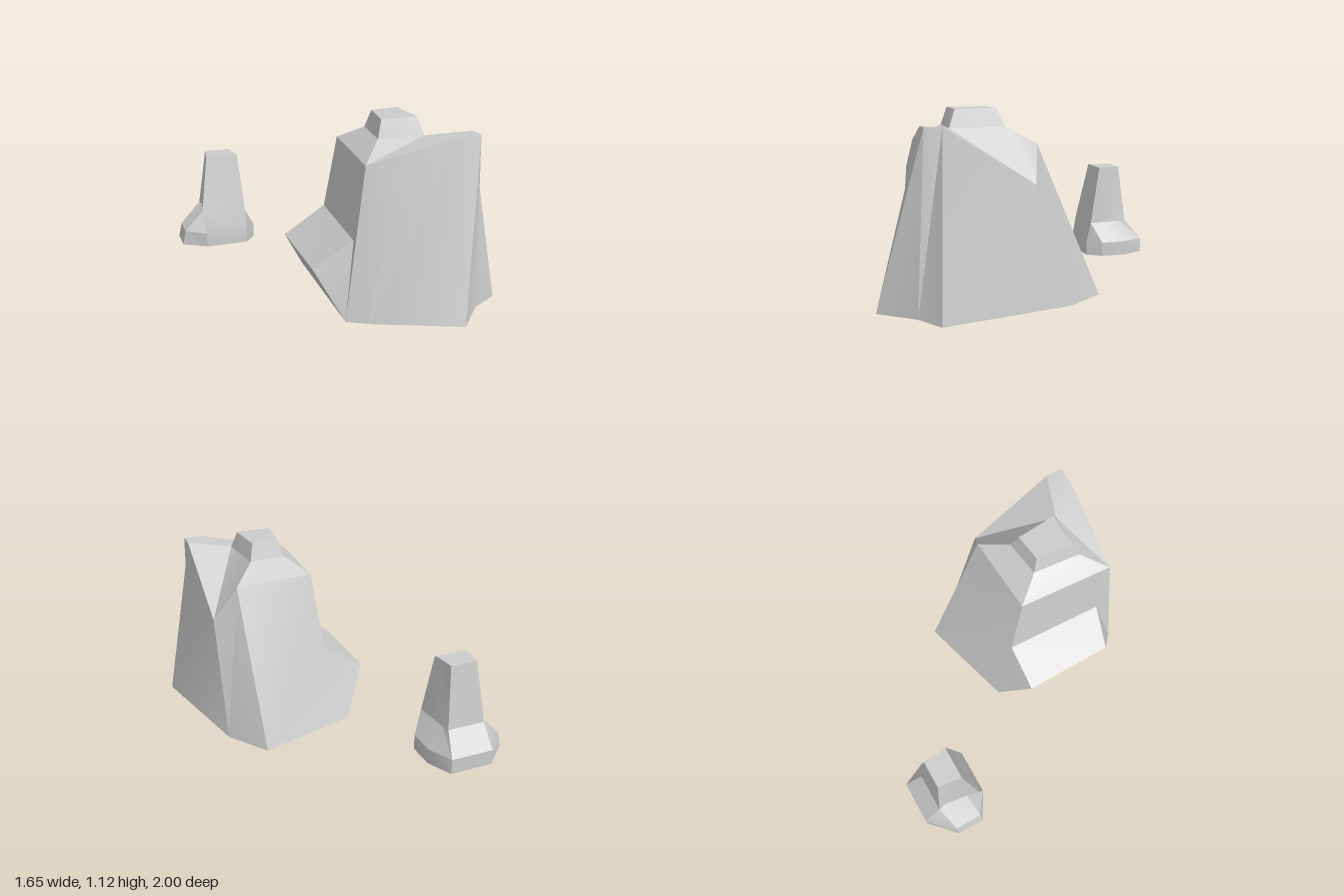
import * as THREE from 'three';
import { toCreasedNormals } from 'three/addons/utils/BufferGeometryUtils.js';

const material = new THREE.MeshStandardMaterial({ color: 0xcccccc });

// Faceted stone from corner points and polygons; every polygon is turned to face away from the core
function stone(name, points, faces, core) {
  const out = [];
  const c = new THREE.Vector3(...core), n = new THREE.Vector3(), mid = new THREE.Vector3();
  const tri = new THREE.Triangle();
  for (const face of faces) {
    for (let i = 1; i < face.length - 1; i++) {
      tri.a.set(...points[face[0]]);
      tri.b.set(...points[face[i]]);
      tri.c.set(...points[face[i + 1]]);
      tri.getNormal(n);
      tri.getMidpoint(mid).sub(c);
      const order = n.dot(mid) > 0 ? [tri.a, tri.b, tri.c] : [tri.a, tri.c, tri.b];
      for (const v of order) out.push(v.x, v.y, v.z);
    }
  }
  const geometry = new THREE.BufferGeometry();
  geometry.setAttribute('position', new THREE.Float32BufferAttribute(out, 3));
  const mesh = new THREE.Mesh(toCreasedNormals(geometry, 0.45), material);
  mesh.name = name;
  return mesh;
}

// Polygons joining stacked rings of equal size, optionally closed at the ends
function ringFaces(rings, size, bottom = true) {
  const faces = [];
  const loop = (r) => Array.from({ length: size }, (_, i) => r * size + i);
  for (let r = 0; r < rings - 1; r++) {
    for (let i = 0; i < size; i++) {
      const j = (i + 1) % size;
      faces.push([r * size + i, r * size + j, (r + 1) * size + j, (r + 1) * size + i]);
    }
  }
  faces.push(loop(rings - 1));
  if (bottom) faces.push(loop(0));
  return faces;
}

function largeRock() {
  const p = {
    // footprint
    baseLeft: [-0.02, 0, 0.79], baseFront: [0.48, 0, 0.995], baseCorner: [0.65, 0, 0.79],
    baseRight: [0.82, 0, 0.69], baseRear: [0.65, 0, -0.09], baseBack: [0.48, 0, -0.33],
    lobeBack: [-0.13, 0, -0.16], lobeFront: [-0.14, 0, 0.72],
    // side lobe
    bulgeBack: [-0.29, 0.285, 0], bulgeFront: [-0.29, 0.285, 0.57],
    wallBack: [-0.03, 0.45, 0], wallFront: [-0.06, 0.45, 0.62],
    // shoulders
    shoulderFront: [-0.02, 0.91, 0.69], shoulderBack: [0.02, 0.92, 0.1], shoulderRear: [0.51, 0.92, 0.07],
    dipFront: [0.11, 0.77, 0.75], dipSide: [0.65, 0.71, 0.12],
    // small peak
    peakA: [0.53, 1.04, 0.74], peakB: [0.65, 1.04, 0.74], peakC: [0.65, 1.04, 0.64],
    // ledge under the crown
    ledge1: [0.14, 1.01, 0.25], ledge2: [0.37, 1.01, 0.22], ledge3: [0.39, 1.01, 0.55], ledge4: [0.11, 1.01, 0.54],
  };
  const faces = [
    // underside
    'baseLeft baseFront baseCorner baseRight baseRear baseBack lobeBack lobeFront',
    // front
    'baseLeft dipFront shoulderFront',
    'peakA dipFront baseLeft baseFront',
    'shoulderFront dipFront peakA',
    'baseFront baseCorner peakB peakA',
    // right side and back
    'baseCorner baseRight peakC peakB',
    'baseRight baseRear dipSide peakC',
    'baseRear baseBack shoulderRear dipSide',
    'baseBack lobeBack wallBack shoulderBack shoulderRear',
    // left side and lobe
    'shoulderBack shoulderFront wallFront wallBack',
    'wallBack wallFront bulgeFront bulgeBack',
    'bulgeBack bulgeFront lobeFront lobeBack',
    'wallBack bulgeBack lobeBack',
    'wallFront lobeFront bulgeFront',
    'shoulderFront wallFront lobeFront baseLeft',
    // sloping top
    'peakA peakB peakC',
    'shoulderFront peakA ledge3 ledge4',
    'shoulderBack shoulderFront ledge4 ledge1',
    'shoulderRear shoulderBack ledge1 ledge2',
    'peakA peakC ledge3', 'peakC dipSide ledge3',
    'dipSide ledge2 ledge3', 'dipSide shoulderRear ledge2',
  ].map((f) => f.split(' '));
  return stone('largeRockBody', p, faces, [0.28, 0.3, 0.35]);
}

function crown() {
  const points = [
    [0.14, 1.01, 0.25], [0.37, 1.01, 0.22], [0.39, 1.01, 0.55], [0.11, 1.01, 0.54],
    [0.17, 1.115, 0.28], [0.34, 1.115, 0.26], [0.36, 1.115, 0.51], [0.14, 1.115, 0.51],
  ];
  return stone('largeRockCrown', points, ringFaces(2, 4, false), [0.25, 1.03, 0.39]);
}

function smallRock() {
  // Eight corners per level, running round from the back left
  const foot = [[-0.67, -1], [-0.4, -1], [-0.33, -0.85], [-0.33, -0.68],
    [-0.4, -0.59], [-0.68, -0.59], [-0.83, -0.68], [-0.83, -0.85]];
  const brim = foot.map(([x, z]) => [Math.max(x, -0.81), z]);
  const waist = [[-0.67, -0.89], [-0.43, -0.89], [-0.42, -0.84], [-0.41, -0.7],
    [-0.4, -0.62], [-0.7, -0.62], [-0.68, -0.7], [-0.66, -0.84]];
  const top = [[-0.62, -0.84], [-0.45, -0.84], [-0.45, -0.82], [-0.44, -0.72],
    [-0.43, -0.69], [-0.64, -0.69], [-0.63, -0.72], [-0.62, -0.82]];
  const levels = [[0.02, foot], [0.115, brim], [0.245, waist], [0.63, top]];
  const points = levels.flatMap(([y, ring]) => ring.map(([x, z]) => [x, y, z]));
  return stone('smallRock', points, ringFaces(4, 8), [-0.54, 0.2, -0.77]);
}

export function createModel() {
  const model = new THREE.Group();
  model.name = 'rocks';
  const large = new THREE.Group();
  large.name = 'largeRock';
  large.add(largeRock(), crown());
  model.add(large, smallRock());
  return model;
}
